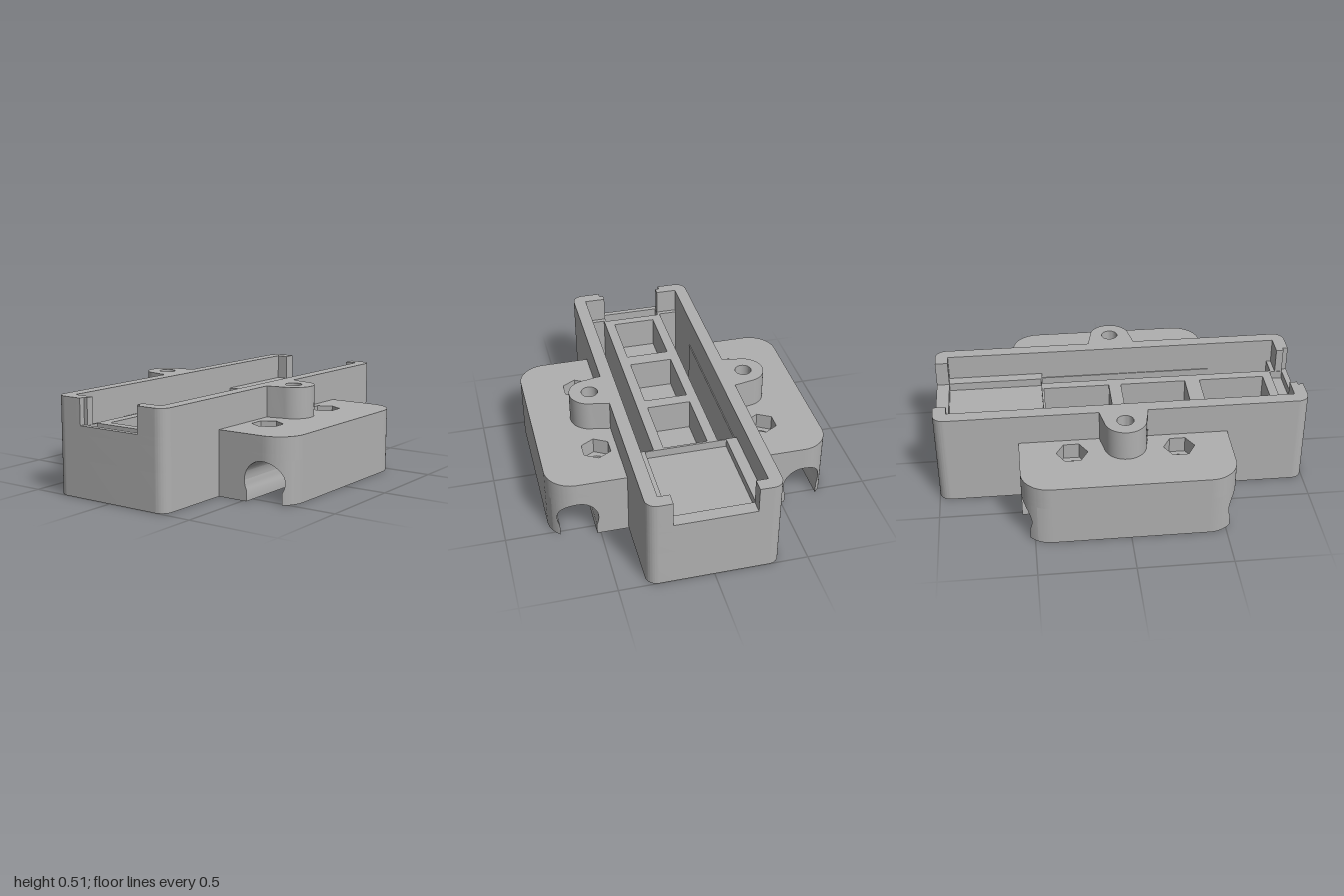
import * as THREE from 'three';
import { mergeGeometries, toCreasedNormals } from 'three/addons/utils/BufferGeometryUtils.js';
import { ConvexGeometry } from 'three/addons/geometries/ConvexGeometry.js';

const CREASE = 0.5;

// Plan-view outlines use (x, s) with s pointing to the back (-z)
function rect(x0, x1, s0, s1) {
  return new THREE.Path([[x0, s0], [x1, s0], [x1, s1], [x0, s1]].map(p => new THREE.Vector2(...p)));
}
function circle(x, s, r) {
  return new THREE.Path().absarc(x, s, r, 0, Math.PI * 2, true);
}
function hexagon(x, s, r) {
  const pts = [];
  for (let i = 0; i < 6; i++) {
    const a = i * Math.PI / 3;
    pts.push(new THREE.Vector2(x + r * Math.cos(a), s + r * Math.sin(a)));
  }
  return new THREE.Path(pts);
}

// Extrude a plan outline upwards from y0 to y1
function layer(outline, y0, y1, holes = []) {
  const shape = outline.clone();
  shape.holes = holes;
  const g = new THREE.ExtrudeGeometry(shape, { depth: y1 - y0, bevelEnabled: false, curveSegments: 14 });
  g.rotateX(-Math.PI / 2);
  g.translate(0, y0, 0);
  return toCreasedNormals(g, CREASE);
}

export function createModel() {
  const root = new THREE.Group();
  const grey = new THREE.MeshStandardMaterial({ color: 0xb0b0b0 });
  grey.name = 'grey plastic';
  const add = (parent, name, geometry) => {
    const m = new THREE.Mesh(geometry, grey);
    m.name = name;
    parent.add(m);
    return m;
  };

  // ---- Housing ----
  const W = 1, D = 0.35, R = 0.06, H = 0.515, FLOOR = 0.375;
  const housing = new THREE.Group();
  housing.name = 'housing';
  root.add(housing);

  const outer = new THREE.Shape();
  outer.absarc(W - R, D - R, R, 0, Math.PI / 2);
  outer.absarc(-W + R, D - R, R, Math.PI / 2, Math.PI);
  outer.absarc(-W + R, -D + R, R, Math.PI, Math.PI * 1.5);
  outer.absarc(W - R, -D + R, R, Math.PI * 1.5, Math.PI * 2);
  outer.closePath();

  const slots = () => [rect(-0.905, 0.405, 0.175, 0.28), rect(-0.905, 0.405, -0.28, -0.175)];
  const pockets = () => [-0.667, -0.217, 0.217].map(x => rect(x - 0.183, x + 0.183, -0.12, 0.12));
  const recesses = () => [rect(0.412, 0.93, -0.222, 0.222), rect(-0.97, -0.9, -0.163, 0.163)];
  add(housing, 'base', layer(outer, 0, 0.2, slots()));
  add(housing, 'pocketLayer', layer(outer, 0.2, 0.33, [...slots(), ...pockets()]));
  add(housing, 'recessLayer', layer(outer, 0.33, FLOOR, [...slots(), ...pockets(), ...recesses()]));

  // Upper walls, split by the notch at each end
  for (const side of [1, -1]) {
    const wall = new THREE.Shape();
    wall.moveTo(W, 0.217 * side);
    wall.lineTo(W, (D - R) * side);
    wall.absarc(W - R, (D - R) * side, R, 0, side * Math.PI / 2, side < 0);
    wall.absarc(-W + R, (D - R) * side, R, side * Math.PI / 2, side * Math.PI, side < 0);
    for (const [x, s] of [[-W, 0.187], [-0.97, 0.187], [-0.97, 0.165], [-0.93, 0.165],
      [-0.93, 0.28], [0.93, 0.28], [0.93, 0.217]]) wall.lineTo(x, s * side);
    wall.closePath();
    add(housing, side > 0 ? 'backWall' : 'frontWall', layer(wall, FLOOR, H));
  }

  // ---- Side brackets with a rod channel ----
  const BX = 0.56, BS = 0.763, BR = 0.15, BH = 0.347, CUT = 0.225;
  const S0 = 0.275, BORE_S = 0.615, BORE_Y = 0.11, BORE_R = 0.107, GAP = 0.095;
  const boltX = [-0.283, 0.283], boltS = 0.46, postS = 0.435, holeR = 0.045, nutR = 0.083;

  const plan = new THREE.Shape();
  plan.moveTo(-BX, S0);
  plan.lineTo(BX, S0);
  plan.absarc(BX - BR, BS - BR, BR, 0, Math.PI / 2);
  plan.absarc(-BX + BR, BS - BR, BR, Math.PI / 2, Math.PI);
  plan.closePath();
  const halfLength = s => {
    const t = Math.max(0, s - (BS - BR));
    return BX - BR + Math.sqrt(Math.max(0, BR * BR - t * t));
  };

  // Prisms across the bracket; their ends follow the rounded corners
  function bands(list, low, high) {
    const parts = [];
    for (let i = 0; i + 1 < list.length; i++) {
      const pts = [];
      for (const s of [list[i], list[i + 1]])
        for (const sx of [-1, 1])
          for (const y of [low(s), high(s)]) pts.push(new THREE.Vector3(sx * halfLength(s), y, -s));
      parts.push(new ConvexGeometry(pts));
    }
    return toCreasedNormals(mergeGeometries(parts), CREASE);
  }
  const spread = (a, b, n) => Array.from({ length: n + 1 }, (_, i) => a + (b - a) * i / n);
  const arcY = s => Math.sqrt(Math.max(0, BORE_R ** 2 - (s - BORE_S) ** 2));

  const bracket = new THREE.Group();
  bracket.name = 'backBracket';
  const boltHoles = () => boltX.map(x => circle(x, boltS, holeR));
  const postHole = () => circle(0, postS, holeR);
  add(bracket, 'bracketTop', layer(plan, 0.26, BH, [...boltX.map(x => hexagon(x, boltS, nutR)), postHole()]));
  add(bracket, 'bracketMiddle', layer(plan, CUT, 0.26, [...boltHoles(), postHole()]));

  const inner = new THREE.Shape(rect(-BX, BX, S0, BORE_S - BORE_R).getPoints());
  add(bracket, 'innerBlock', layer(inner, 0.09, CUT, [...boltHoles(), postHole()]));
  add(bracket, 'nutLayer', layer(inner, 0, 0.09, [...boltHoles(), hexagon(0, postS, nutR)]));

  // Channel roof, small snap edges and outer lip
  const roof = spread(0, Math.PI, 28).map(a => BORE_S - BORE_R * Math.cos(a));
  add(bracket, 'channelRoof', bands(roof, s => BORE_Y + arcY(s), () => CUT));
  const snapLow = () => 0, snapHigh = s => BORE_Y - arcY(s);
  add(bracket, 'innerSnapEdge', bands(spread(BORE_S - BORE_R, BORE_S - GAP, 4), snapLow, snapHigh));
  add(bracket, 'outerSnapEdge', bands(spread(BORE_S + GAP, BORE_S + BORE_R, 4), snapLow, snapHigh));
  const lip = spread(0, 1, 10).map(t => BORE_S + BORE_R + (BS - BORE_S - BORE_R) * (1 - (1 - t) ** 2));
  add(bracket, 'outerLip', bands(lip, () => 0, () => CUT));

  // Screw post, flared where it meets the housing
  const postR = 0.112;
  const post = new THREE.Shape();
  post.moveTo(-0.13, 0.345);
  post.lineTo(0.13, 0.345);
  post.lineTo(0.125, 0.38);
  post.absarc(0, postS, postR, 0.05, Math.PI - 0.05);
  post.lineTo(-0.125, 0.38);
  post.closePath();
  add(bracket, 'screwPost', layer(post, BH, H, [postHole()]));

  // The post continues down through the channel
  const a0 = Math.asin((BORE_S - BORE_R - postS) / postR);
  const bulge = new THREE.Shape();
  bulge.absarc(0, postS, postR, a0, Math.PI - a0);
  bulge.closePath();
  add(bracket, 'postInChannel', layer(bulge, 0, CUT));

  root.add(bracket);
  const front = bracket.clone();
  front.name = 'frontBracket';
  front.rotation.y = Math.PI;
  root.add(front);
  return root;
}
